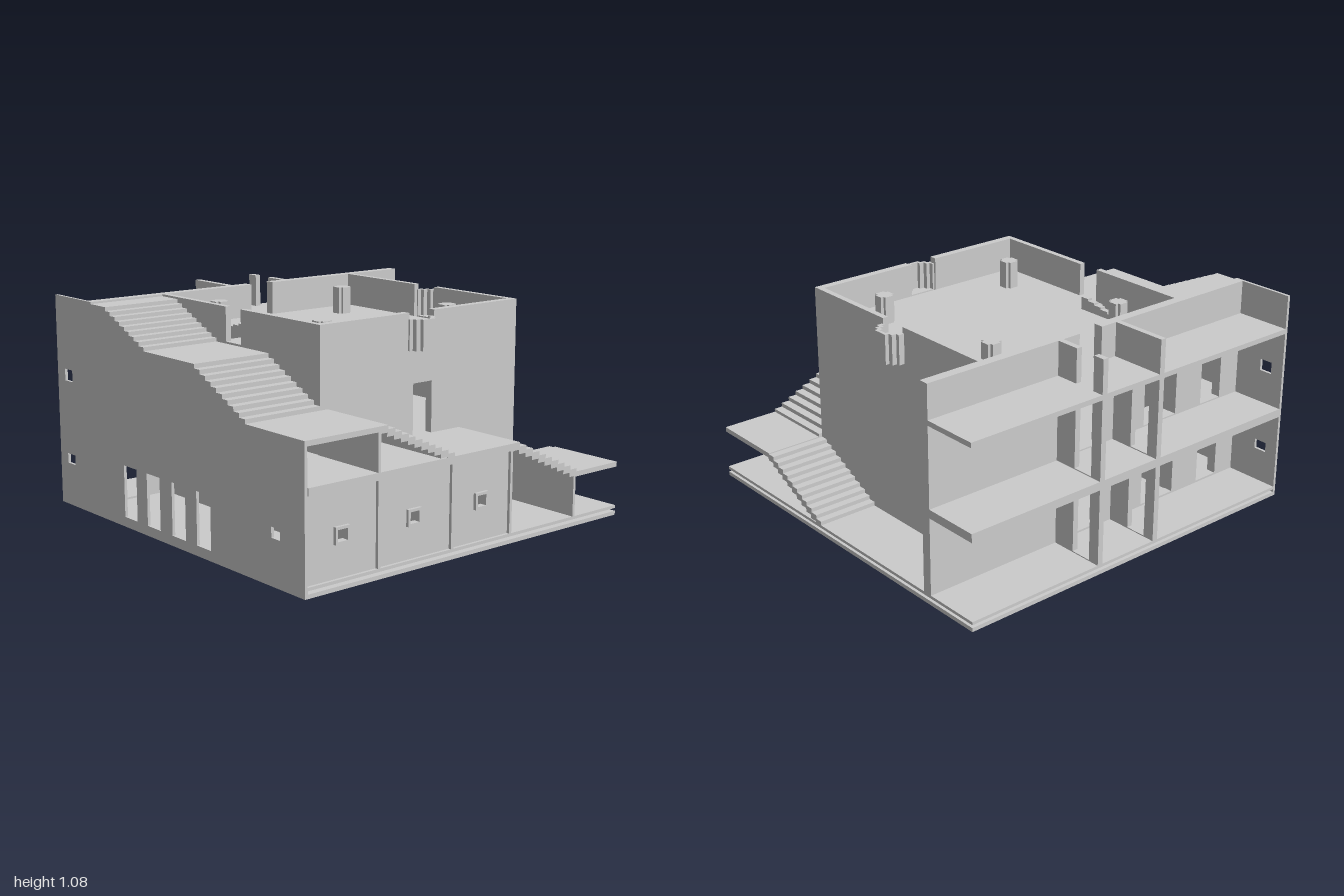
import * as THREE from 'three';

export function createModel() {
  const root = new THREE.Group();
  const mat = new THREE.MeshStandardMaterial({ color: 0xcccccc, flatShading: true, side: THREE.DoubleSide });

  const add = (name, geo, parent = root) => {
    const m = new THREE.Mesh(geo, mat);
    m.name = name;
    parent.add(m);
    return m;
  };
  // Box given by its limits
  const box = (name, x0, x1, y0, y1, z0, z1, parent) => {
    const m = add(name, new THREE.BoxGeometry(x1 - x0, y1 - y0, z1 - z0), parent);
    m.position.set((x0 + x1) / 2, (y0 + y1) / 2, (z0 + z1) / 2);
    return m;
  };
  const rect = (a, b, c, d) => [[a, c], [b, c], [b, d], [a, d]];
  const vecs = (pts) => pts.map((p) => new THREE.Vector2(...p));
  const plate = (outline, holes, t) => {
    const s = new THREE.Shape(vecs(outline));
    for (const h of holes) s.holes.push(new THREE.Path(vecs(rect(...h))));
    return new THREE.ExtrudeGeometry(s, { depth: t, bevelEnabled: false });
  };
  // Wall facing z: outline in (x, y), from z0 to z1
  const wallZ = (name, outline, holes, z0, z1) => {
    add(name, plate(outline, holes, z1 - z0)).position.z = z0;
  };
  // Wall facing x: outline in (z, y), from x0 to x1
  const wallX = (name, outline, holes, x0, x1) => {
    const m = add(name, plate(outline, holes, x1 - x0));
    m.rotation.y = -Math.PI / 2;
    m.position.x = x1;
  };
  // Thin flight of steps climbing from a0 to a1 along the axis
  const flight = (name, axis, a0, a1, y0, y1, n, c0, c1) => {
    const g = new THREE.Group();
    g.name = name;
    root.add(g);
    const run = (a1 - a0) / n, rise = (y1 - y0) / n;
    for (let i = 0; i < n; i++) {
      const p = a0 + i * run, q = p + run * 1.15, top = y0 + (i + 1) * rise;
      const lo = Math.min(p, q), hi = Math.max(p, q), bottom = top - rise - 0.015;
      if (axis === 'x') box('step', lo, hi, bottom, top, c0, c1, g);
      else box('step', c0, c1, bottom, top, lo, hi, g);
    }
  };

  // Base: two plates on a smaller block
  box('lowerBase', -1, 1, 0, 0.02, -1, 1);
  box('baseCore', -0.43, 0.54, 0.02, 0.035, -0.53, 0.45);
  box('groundFloor', -1, 1, 0.035, 0.05, -1, 1);

  // Central hall walls
  wallZ('hallFrontWall',
    [[-0.58, 0.05], [0.68, 0.05], [0.68, 1.08], [0.12, 1.08], [0.12, 0.9], [-0.04, 0.9], [-0.04, 1.08], [-0.58, 1.08]],
    [[-0.01, 0.11, 0.485, 0.74], [-0.01, 0.11, 0.06, 0.31]], 0.55, 0.59);
  wallX('hallRightWall',
    [[-0.66, 0.05], [0.55, 0.05], [0.55, 1.08], [0.03, 1.08], [0.03, 0.9], [-0.12, 0.9], [-0.12, 1.08], [-0.66, 1.08]],
    [], 0.65, 0.68);
  wallX('hallLeftWall',
    [[-0.66, 0.05], [0.55, 0.05], [0.55, 1.08], [0, 1.08], [0, 0.91], [-0.12, 0.91], [-0.12, 1.08], [-0.66, 1.08]],
    [], -0.58, -0.55);

  // Full-width back wall with doorways on each storey
  const backHoles = [];
  for (const y of [0.06, 0.49]) {
    for (const [a, b] of [[-0.86, -0.72], [-0.54, -0.32], [-0.02, 0.12]]) backHoles.push([a, b, y, y + 0.36]);
  }
  wallZ('backWall',
    [[-1, 0.05], [1, 0.05], [1, 1.08], [0.12, 1.08], [0.12, 0.91], [-0.02, 0.91], [-0.02, 1.08], [-1, 1.08]],
    backHoles, -0.71, -0.66);

  // Floors
  for (const [name, y0, y1] of [['middle', 0.44, 0.483], ['upper', 0.885, 0.91]]) {
    box(name + 'BackFloor', -1, 1, y0, y1, -1, -0.71);
    box(name + 'HallFloor', -0.45, 0.65, y0, y1, -0.66, 0.55);
    box(name + 'HallFloorSide', -0.55, -0.45, y0, y1, -0.17, 0.55);
    box(name + 'HallFloorEnd', -0.55, -0.45, y0, y1, -0.66, -0.55);
  }
  box('leftWingFloor', -0.98, -0.58, 0.44, 0.483, -0.66, 0.59);
  box('terrace', -0.98, 0.25, 0.45, 0.485, 0.59, 1);

  // Back room partitions with doorways
  for (const [y0, y1] of [[0.05, 0.44], [0.483, 0.885]]) {
    for (const x of [-0.14, 0.22]) {
      wallX('backPartition', rect(-1, -0.71, y0, y1), [[-0.94, -0.83, y0 + 0.005, y1 - 0.02]], x, x + 0.03);
    }
  }
  box('upperPartition', -0.14, -0.11, 0.91, 1.08, -1, -0.71);
  box('upperPartitionOuter', 0.22, 0.25, 0.91, 1.08, -1, -0.94);
  box('upperPartitionInner', 0.22, 0.25, 0.91, 1.08, -0.83, -0.71);

  // Outer side wall following the stairs
  const sideHoles = [[-0.93, -0.86, 0.22, 0.27], [-0.93, -0.86, 0.65, 0.71], [0.77, 0.83, 0.22, 0.27]];
  for (const z of [-0.4, -0.2, 0.01, 0.21]) sideHoles.push([z, z + 0.11, 0.05, 0.31]);
  wallX('sideWall',
    [[-1, 0], [1, 0], [1, 0.68], [0.59, 0.68], [0.17, 0.885], [-0.2, 0.885], [-0.57, 1.06], [-0.66, 1.06], [-0.66, 1.08], [-1, 1.08]],
    sideHoles, -1, -0.985);

  // Front rooms, each with a framed window
  const rooms = [[-0.985, -0.59, -0.79], [-0.58, -0.145, -0.37], [-0.13, 0.235, 0.05]];
  for (const [x0, x1, c] of rooms) {
    const hole = [c - 0.027, c + 0.027, 0.218, 0.272];
    wallZ('frontRoomWall', rect(x0, x1, 0.05, 0.47), [hole], 0.965, 0.985);
    wallZ('windowFrame', rect(c - 0.04, c + 0.04, 0.205, 0.285), [hole], 0.985, 1);
    box('roomDivider', x1, x1 + 0.015, 0.05, 0.45, 0.59, 1);
  }
  box('platformSideWall', -0.59, -0.575, 0.485, 0.665, 0.59, 1);

  // Stairs from the ground around the front and up the side
  flight('groundStairs', 'z', 0.15, 0.59, 0.05, 0.27, 11, 0.68, 1);
  box('lowerLanding', 0.68, 1, 0.25, 0.275, 0.59, 1);
  box('landingSupport', 0.68, 0.695, 0.05, 0.25, 0.59, 1);
  flight('terraceStairs', 'x', 0.7, 0.25, 0.27, 0.485, 10, 0.59, 1);
  flight('platformStairs', 'x', -0.13, -0.575, 0.485, 0.69, 11, 0.59, 1);
  box('platform', -1, -0.575, 0.665, 0.69, 0.59, 1);
  flight('sideStairs', 'z', 0.59, 0.17, 0.69, 0.9, 10, -1, -0.58);
  box('sideLanding', -1, -0.58, 0.88, 0.9, -0.2, 0.17);
  flight('upperSideStairs', 'z', -0.2, -0.57, 0.9, 1.07, 9, -1, -0.58);
  box('topLanding', -1, -0.58, 1.05, 1.07, -0.66, -0.57);

  // Inner stairs through the upper floor, with a stepped rail
  flight('innerStairs', 'z', -0.17, -0.55, 0.483, 0.9, 12, -0.55, -0.45);
  for (let i = 0; i < 5; i++) {
    const z = -0.38 + i * 0.046;
    box('stairRail', -0.45, -0.42, 0.91, 0.935 + i * 0.01, z, z + 0.046);
  }

  // Cross-shaped columns
  for (const x of [-0.37, 0.435]) {
    for (const z of [-0.46, 0.35]) {
      box('columnWide', x - 0.04, x + 0.04, 0.05, 1.05, z - 0.024, z + 0.024);
      box('columnDeep', x - 0.024, x + 0.024, 0.05, 1.05, z - 0.04, z + 0.04);
    }
  }

  // Stepped balcony bays: u along the wall, v outward
  const half = [[0.085, -0.03], [0.085, 0.01], [0.065, 0.01], [0.065, 0.035], [0.04, 0.035], [0.04, 0.055]];
  const mirror = (pts) => [...pts, ...pts.map(([u, v]) => [-u, v]).reverse()];
  const outer = mirror(half);
  const inner = mirror(half.map(([u, v]) => [u - 0.016, v < 0 ? v : v - 0.016]));
  const bay = (name, x, z, turn) => {
    const g = new THREE.Group();
    g.name = name;
    const upright = (part, pts, h) => {
      // Plan outline is flipped so that v points outward after standing it up
      const geo = plate(pts.map(([u, v]) => [u, -v]), [], h);
      geo.rotateX(-Math.PI / 2);
      add(part, geo, g);
    };
    upright('bayFloor', outer, 0.012);
    upright('bayParapet', [...outer, ...inner.reverse()], 0.15);
    inner.reverse();
    g.position.set(x, 0.9, z);
    g.rotation.y = turn;
    root.add(g);
  };
  bay('frontBay', 0.04, 0.59, 0);
  bay('rightBay', 0.7, -0.045, Math.PI / 2);

  return root;
}
